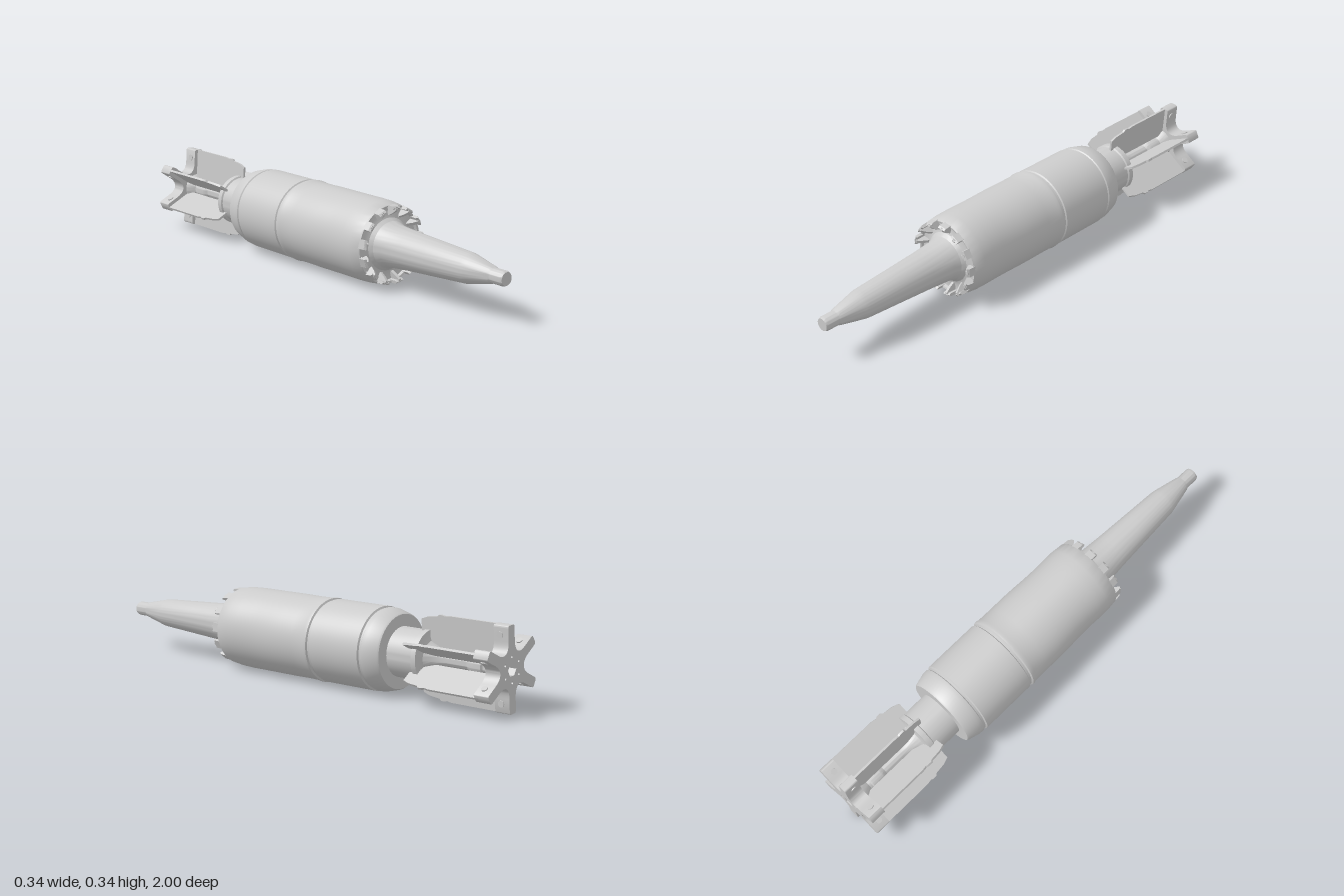
import * as THREE from 'three';
import { toCreasedNormals } from 'three/addons/utils/BufferGeometryUtils.js';

const AXIS_Y = 0.172;
const FIN_TURN = -4 * Math.PI / 180;
const mat = new THREE.MeshStandardMaterial({ color: 0xcccccc, side: THREE.DoubleSide });

function mesh(name, geo, crease = 0.5) {
  const m = new THREE.Mesh(toCreasedNormals(geo, crease), mat);
  m.name = name;
  return m;
}

// Turned part from [radius, z] pairs, listed from back to front
function turned(name, profile, reshape) {
  const geo = new THREE.LatheGeometry(profile.map(p => new THREE.Vector2(p[0], p[1])), 64);
  geo.rotateX(Math.PI / 2);
  if (reshape) reshape(geo.attributes.position);
  return mesh(name, geo);
}

// Plate lying in the radius-z plane, centred on its thickness
function radialPlate(name, points, thickness) {
  const shape = new THREE.Shape(points.map(p => new THREE.Vector2(p[0], p[1])));
  const geo = new THREE.ExtrudeGeometry(shape, { depth: thickness, bevelEnabled: false });
  geo.translate(0, 0, -thickness / 2).rotateX(Math.PI / 2);
  return mesh(name, geo);
}

// Repeats a part around the long axis
function ring(name, count, start, make) {
  const g = new THREE.Group();
  g.name = name;
  for (let i = 0; i < count; i++) {
    const arm = new THREE.Group();
    arm.rotation.z = start + i * 2 * Math.PI / count;
    arm.add(...make());
    g.add(arm);
  }
  return g;
}

// Six-armed star with concave flanks, a hexagonal socket and small holes
function starBracket() {
  const shape = new THREE.Shape();
  const at = (r, w, a) => [r * Math.cos(a) - w * Math.sin(a), r * Math.sin(a) + w * Math.cos(a)];
  for (let i = 0; i < 6; i++) {
    const a = FIN_TURN + Math.PI / 6 + i * Math.PI / 3;
    const w = 0.02;
    if (i === 0) shape.moveTo(...at(0.11, -w, a));
    shape.lineTo(...at(0.16, -w, a));
    shape.quadraticCurveTo(...at(0.17, -w, a), ...at(0.17, -w / 2, a));
    shape.lineTo(...at(0.17, w / 2, a));
    shape.quadraticCurveTo(...at(0.17, w, a), ...at(0.16, w, a));
    shape.lineTo(...at(0.11, w, a));
    const b = a + Math.PI / 3;
    shape.bezierCurveTo(...at(0.065, w, a), ...at(0.065, -w, b), ...at(0.11, -w, b));
    const hole = new THREE.Path();
    hole.absarc(...at(0.05, 0, a), 0.005, 0, Math.PI * 2, true);
    shape.holes.push(hole);
  }
  const socket = new THREE.Path();
  for (let i = 0; i < 6; i++) {
    const p = at(0.027, 0, i * Math.PI / 3);
    i ? socket.lineTo(...p) : socket.moveTo(...p);
  }
  socket.closePath();
  shape.holes.push(socket);
  const geo = new THREE.ExtrudeGeometry(shape, { depth: 0.065, bevelEnabled: false, curveSegments: 10 });
  geo.translate(0, 0, -1);
  return mesh('starBracket', geo);
}

export function createModel() {
  const root = new THREE.Group();
  root.name = 'finnedRound';
  const model = new THREE.Group();
  model.name = 'assembly';
  model.position.y = AXIS_Y;
  root.add(model);

  // Main body with raised band, rear groove and a gently pinched front half
  model.add(turned('body', [
    [0.095, -0.487], [0.148, -0.487], [0.153, -0.48], [0.166, -0.43], [0.166, -0.412],
    [0.162, -0.408], [0.162, -0.4], [0.169, -0.396], [0.169, -0.3], [0.169, -0.2],
    [0.169, -0.152], [0.164, -0.148], [0.164, -0.138], [0.171, -0.134], [0.172, -0.125],
    [0.169, -0.115], [0.168, -0.05], [0.169, 0.02], [0.169, 0.08], [0.169, 0.14],
    [0.169, 0.2], [0.169, 0.26], [0.167, 0.31], [0.161, 0.36], [0.157, 0.366],
    [0.15, 0.364], [0.147, 0.352], [0.125, 0.35], [0.106, 0.358], [0.094, 0.375],
  ], pos => {
    for (let i = 0; i < pos.count; i++) {
      const d = (pos.getZ(i) - 0.19) / 0.1;
      pos.setX(i, pos.getX(i) * (1 - 0.035 * Math.exp(-d * d)));
    }
  }));

  // Long nose probe
  model.add(turned('noseProbe', [
    [0.096, 0.37], [0.086, 0.4], [0.078, 0.5], [0.071, 0.62], [0.06, 0.81], [0.056, 0.83],
    [0.034, 0.93], [0.03, 0.938], [0.03, 0.99], [0.026, 1], [0, 1],
  ]));

  // Crimped teeth around the front rim
  model.add(ring('frontTeeth', 13, 87 * Math.PI / 180, () => {
    const rib = radialPlate('toothRib',
      [[0.112, 0.35], [0.155, 0.35], [0.155, 0.396], [0.142, 0.398], [0.128, 0.38]], 0.012);
    const cap = radialPlate('toothCap',
      [[0.146, 0.35], [0.16, 0.355], [0.157, 0.39], [0.15, 0.398], [0.145, 0.39]], 0.036);
    return [rib, cap];
  }));

  // Rear tube, flange and necked tail boom
  model.add(turned('tailBoom', [
    [0, -0.96], [0.04, -0.96], [0.06, -0.935], [0.055, -0.925], [0.034, -0.9], [0.034, -0.89],
    [0.041, -0.885], [0.041, -0.835], [0.036, -0.825], [0.03, -0.815], [0.03, -0.72],
    [0.034, -0.69], [0.045, -0.66], [0.064, -0.635], [0.08, -0.63], [0.106, -0.63],
    [0.106, -0.608], [0.1, -0.604], [0.1, -0.48],
  ]));

  // Six thin fins, slotted around the flange, with hinge pins at the back
  model.add(ring('fins', 6, FIN_TURN + Math.PI / 6, () => {
    const blade = radialPlate('finBlade', [
      [0.042, -0.94], [0.042, -0.68], [0.06, -0.64], [0.09, -0.59], [0.146, -0.59],
      [0.157, -0.62], [0.162, -0.665], [0.17, -0.672], [0.17, -0.69], [0.166, -0.7],
      [0.17, -0.72], [0.17, -0.95],
    ], 0.009);
    const pin = mesh('hingePin', new THREE.CylinderGeometry(0.013, 0.013, 0.048, 20));
    pin.position.set(0.132, 0, -0.963);
    return [blade, pin];
  }));
  model.add(starBracket());

  return root;
}
